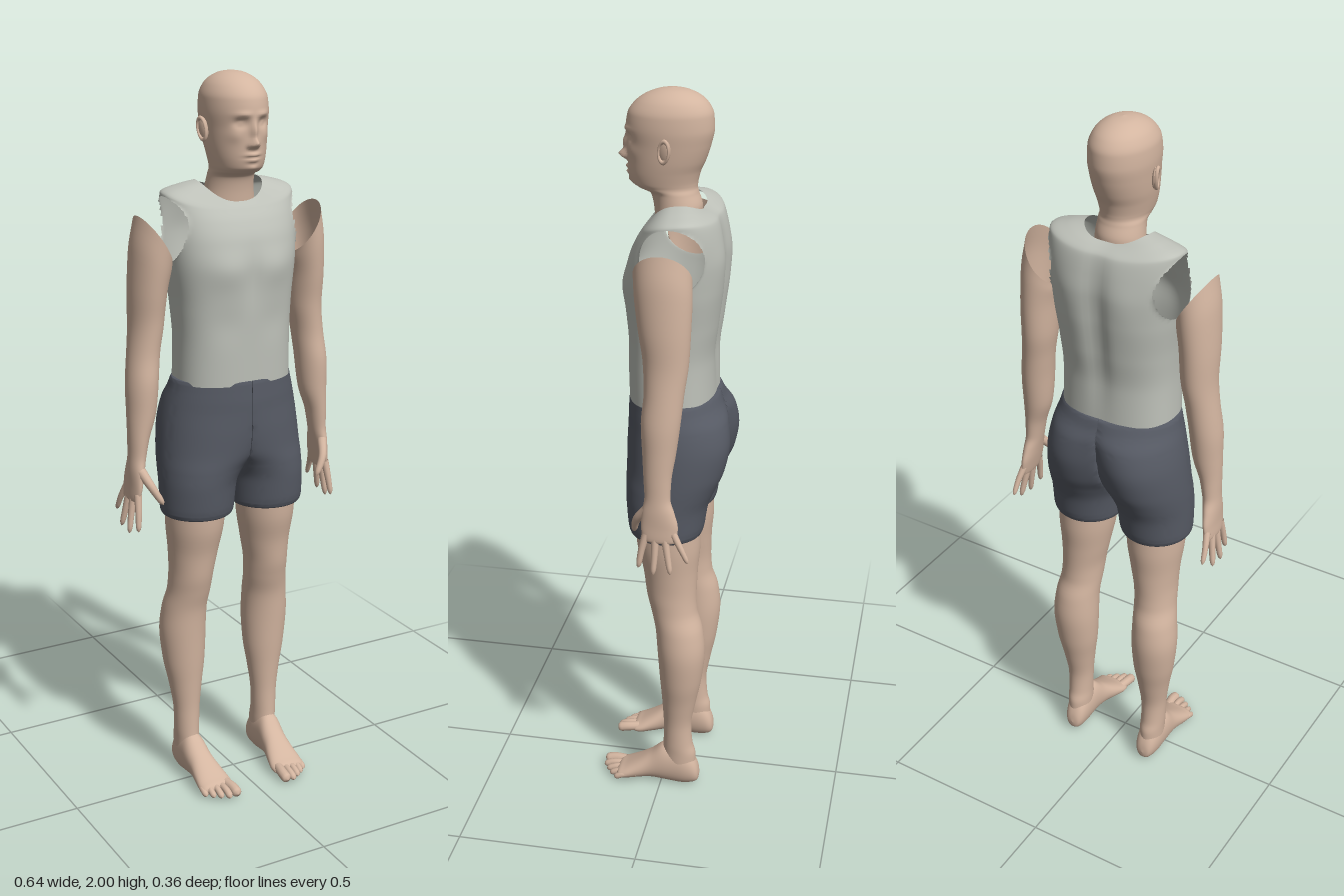
import * as THREE from 'three';
import { mergeVertices, toCreasedNormals } from 'three/addons/utils/BufferGeometryUtils.js';

const mat = (name, color) => Object.assign(
  new THREE.MeshStandardMaterial({ color, side: THREE.DoubleSide }), { name });

// Monotone interpolation of one column of a table of cross-sections
function sample(rows, t, c) {
  const n = rows.length - 1, i = Math.min(Math.floor(t), n - 1), u = t - i;
  const d = k => rows[k + 1][c] - rows[k][c];
  const m = k => {
    if (k === 0) return d(0);
    if (k === n) return d(n - 1);
    const a = d(k - 1), b = d(k);
    return a * b <= 0 ? 0 : 2 * a * b / (a + b);
  };
  const u2 = u * u, u3 = u2 * u;
  return (2 * u3 - 3 * u2 + 1) * rows[i][c] + (u3 - 2 * u2 + u) * m(i)
    + (3 * u2 - 2 * u3) * rows[i + 1][c] + (u3 - u2) * m(i + 1);
}

// Skin through cross-sections; point(row, angle) gives [x, y, z, cut]
function loft(rows, point, segs = 48, steps = 5) {
  const pos = [], cut = [], index = [], count = (rows.length - 1) * steps;
  for (let i = 0; i <= count; i++) {
    const row = rows[0].map((_, c) => sample(rows, i / steps, c));
    for (let j = 0; j < segs; j++) {
      const p = point(row, j / segs * Math.PI * 2);
      pos.push(p[0], p[1], p[2]);
      cut.push(!!p[3]);
    }
  }
  for (let i = 0; i < count; i++) for (let j = 0; j < segs; j++) {
    const a = i * segs + j, b = i * segs + (j + 1) % segs, c = a + segs, d = b + segs;
    if (cut[a] && cut[b] && cut[c] && cut[d]) continue;
    index.push(a, c, b, b, c, d);
  }
  const g = new THREE.BufferGeometry();
  g.setAttribute('position', new THREE.Float32BufferAttribute(pos, 3));
  g.setIndex(index);
  g.computeVertexNormals();
  return g;
}

// Tapered, round-ended tube for fingers and toes
function digit(points, r0, r1) {
  const n = 16, radial = 12;
  const curve = new THREE.CatmullRomCurve3(points.map(p => new THREE.Vector3(...p)));
  let g = new THREE.TubeGeometry(curve, n, 1, radial);
  const p = g.attributes.position, v = new THREE.Vector3();
  for (let i = 0; i <= n; i++) {
    const t = i / n, o = curve.getPointAt(t), end = Math.max(0, (t - 0.8) / 0.2);
    const r = (r0 + (r1 - r0) * t) * Math.sqrt(1 - end * end) + 1e-5;
    for (let j = 0; j <= radial; j++) {
      const k = i * (radial + 1) + j;
      v.fromBufferAttribute(p, k).sub(o).multiplyScalar(r).add(o);
      p.setXYZ(k, v.x, v.y, v.z);
    }
  }
  g.deleteAttribute('uv');
  g.deleteAttribute('normal');
  g = mergeVertices(g, 1e-6);
  g.computeVertexNormals();
  return g;
}

const bell = (x, y, [x0, y0, sx, sy, amp]) =>
  amp * Math.exp(-(((x - x0) / sx) ** 2) - ((y - y0) / sy) ** 2);
const soft = (v, e) => Math.sign(v) * Math.abs(v) ** e;
// Row: y, centre x, half width, front z, back z, sideways tilt
const oval = ([y, cx, rx, zf, zb, tilt = 0], a) => [cx + rx * Math.cos(a), y + tilt * Math.cos(a),
  (zf + zb) / 2 + (zf - zb) / 2 * Math.sin(a)];

// Facial relief on one side: x, y, width, height, depth
const FACE = [[0, 1.826, .011, .011, .023], [0, 1.855, .009, .024, .014], [.011, 1.821, .006, .006, .009],
  [.031, 1.877, .015, .011, -.013], [.031, 1.876, .009, .006, .007], [.028, 1.898, .02, .007, .005],
  [0, 1.797, .018, .005, .008], [0, 1.783, .015, .005, .008], [0, 1.79, .022, .002, -.003],
  [0, 1.763, .016, .009, .006], [.045, 1.845, .016, .016, .004]];

function headGeometry() {
  const rows = [[1.66, 0, .07, .036, -.085], [1.70, 0, .065, .04, -.085], [1.735, 0, .062, .05, -.075],
    [1.75, 0, .063, .085, -.072], [1.762, 0, .066, .1, -.073], [1.79, 0, .072, .106, -.08],
    [1.82, 0, .077, .107, -.093], [1.86, 0, .081, .108, -.106], [1.90, 0, .084, .112, -.114],
    [1.935, 0, .082, .107, -.112], [1.965, 0, .07, .086, -.097], [1.985, 0, .05, .056, -.071],
    [1.996, 0, .026, .023, -.04], [2, 0, 0, -.008, -.008]];
  return loft(rows, (r, a) => {
    const p = oval(r, a);
    if (Math.sin(a) > 0) for (const f of FACE) p[2] += bell(Math.abs(p[0]), p[1], f) * Math.min(1, Math.sin(a) * 2);
    return p;
  }, 112, 8);
}

function shirtGeometry() {
  // y, half width, front z, back z, side lift, front lift
  const rows = [[1.19, .163, .101, -.132, 0, 0], [1.3, .161, .104, -.13, 0, 0], [1.4, .166, .108, -.142, 0, 0],
    [1.5, .178, .11, -.153, 0, 0], [1.57, .184, .1, -.155, 0, 0], [1.625, .187, .08, -.148, .01, -.005],
    [1.665, .186, .06, -.133, .024, -.015], [1.677, .14, .05, -.115, .032, -.015],
    [1.685, .09, .042, -.095, .035, -.015]];
  const bumps = [[.075, 1.5, .055, .045, .008], [0, 1.48, .018, .07, -.005], [.075, 1.36, .05, .05, -.004]];
  const back = [[0, 1.48, .03, .2, -.016], [.08, 1.56, .04, .07, .004]];
  return loft(rows, ([y, rx, zf, zb, side, front], a) => {
    const c = Math.cos(a), s = Math.sin(a), x = rx * soft(c, .8);
    let h = y + side * c * c + front * s;
    let z = (zf + zb) / 2 + (zf - zb) / 2 * soft(s, .85);
    for (const b of s > 0 ? bumps : back) z += bell(Math.abs(x), h, b) * s;
    // armhole: pull inner points to its rim and leave the middle open
    const u = (z + .035) / .083, v = (h - 1.6) / .086, d = Math.hypot(u, v);
    const hole = Math.abs(x) > .13 && d < 1;
    if (hole) { z = -.035 + u / (d + 1e-6) * .083; h = 1.6 + v / (d + 1e-6) * .086; }
    return [x, h, z, hole];
  }, 96, 8);
}

function shortsGeometry() {
  // y, outer x, front lobe centre, back lobe centre, front z, back z
  const rows = [[.822, .18, .11, .11, .06, -.085], [.817, .202, .108, .108, .082, -.106],
    [.832, .21, .108, .108, .09, -.114], [.9, .211, .105, .105, .097, -.125], [.95, .21, .088, .1, .101, -.145],
    [1.0, .207, .05, .09, .105, -.166], [1.07, .2, .02, .08, .108, -.178], [1.13, .189, 0, .06, .108, -.17],
    [1.17, .178, 0, .025, .106, -.15], [1.2, .169, 0, 0, .103, -.137], [1.201, .158, 0, 0, .094, -.126]];
  const g = loft(rows, ([y, w, cf, cb, zf, zb], a) => {
    const s = Math.sin(a), cx = cb + (cf - cb) * (s + 1) / 2;
    return [Math.max(0.001, cx + (w - cx) * Math.cos(a)), y, (zf + zb) / 2 + (zf - zb) / 2 * s];
  }, 64, 6);
  return toCreasedNormals(g, 0.9);
}

function legGeometry() {
  return loft([[.05, .127, .032, -.008, -.1], [.1, .127, .034, -.005, -.1], [.14, .128, .035, -.007, -.091],
    [.2, .128, .037, -.008, -.087], [.28, .129, .047, -.004, -.1], [.36, .131, .06, .002, -.116],
    [.45, .133, .066, .008, -.125], [.52, .13, .063, .014, -.118], [.58, .123, .06, .028, -.101],
    [.63, .12, .061, .04, -.098], [.7, .115, .069, .05, -.1], [.78, .112, .08, .068, -.106],
    [.86, .11, .085, .075, -.105]], oval);
}

function footGeometry() {
  // z, centre x, half width, top y, bottom y
  return loft([[-.112, .125, 0, .035, .035], [-.108, .125, .017, .058, .015], [-.095, .125, .028, .09, .005],
    [-.06, .126, .035, .125, 0], [-.015, .126, .036, .13, .004], [.03, .123, .038, .095, .008],
    [.07, .12, .045, .066, .004], [.105, .118, .05, .044, .001], [.124, .117, .047, .034, .004],
    [.136, .116, 0, .018, .018]], ([z, cx, rx, top, low], a) =>
    [cx + rx * soft(Math.cos(a), .85), (top + low) / 2 - (top - low) / 2 * Math.sin(a), z], 36);
}

function armGeometry() {
  return loft([[.872, .297, 0, -.028, -.028, 0], [.88, .297, .011, .01, -.074, 0], [.92, .292, .016, .02, -.078, 0],
    [.96, .288, .02, .018, -.068, 0], [1.0, .283, .023, .012, -.056, 0], [1.05, .278, .028, .015, -.058, 0],
    [1.12, .267, .039, .02, -.068, 0], [1.2, .262, .043, .024, -.078, 0], [1.28, .253, .043, .018, -.086, 0],
    [1.36, .243, .046, .022, -.096, 0], [1.44, .24, .049, .034, -.1, .005], [1.52, .233, .05, .045, -.102, .035],
    [1.577, .224, .043, .05, -.1, .067]], oval);
}

const FINGERS = {
  thumb: [[[.285, .965, .005], [.268, .925, .036], [.24, .875, .05]], .014, .008],
  indexFinger: [[[.295, .9, .006], [.3, .85, .018], [.305, .8, .026]], .011, .007],
  middleFinger: [[[.296, .9, -.019], [.305, .84, -.018], [.313, .785, -.015]], .011, .007],
  ringFinger: [[[.296, .9, -.043], [.306, .84, -.053], [.314, .792, -.062]], .011, .007],
  littleFinger: [[[.295, .905, -.066], [.303, .865, -.088], [.306, .825, -.108]], .01, .006],
};
// Toes: x, tip z, radius
const TOES = [[.082, .178, .014], [.105, .177, .0095], [.125, .165, .009], [.143, .152, .0085], [.16, .136, .0085]];

export function createModel() {
  const model = new THREE.Group();
  model.name = 'standingFigure';
  const skin = mat('skin', 0xd3b5a0), shirt = mat('shirtGrey', 0xbec1b9), dark = mat('shortsGrey', 0x565a64);
  const add = (parent, name, geometry, material) => {
    const m = new THREE.Mesh(geometry, material);
    m.name = name;
    parent.add(m);
    return m;
  };
  add(model, 'headAndNeck', headGeometry(), skin);
  add(model, 'sleevelessShirt', shirtGeometry(), shirt);

  const parts = { shorts: [shortsGeometry(), dark], leg: [legGeometry(), skin],
    foot: [footGeometry(), skin], arm: [armGeometry(), skin] };
  for (const [name, [pts, r0, r1]] of Object.entries(FINGERS)) parts[name] = [digit(pts, r0, r1), skin];
  TOES.forEach(([x, z, r], i) => {
    const pts = [[.117 + (x - .117) * .85, .024, z - .065], [x, .022, z - .03], [x, r + .001, z]];
    parts['toe' + (i + 1)] = [digit(pts, r, r * 1.05), skin];
  });

  for (const [side, sx] of [['left', 1], ['right', -1]]) {
    const half = new THREE.Group();
    half.name = side + 'Side';
    half.scale.x = sx;
    for (const [name, [g, m]] of Object.entries(parts)) add(half, name, g, m);
    // ear: a flat shell with a raised rim
    const ear = new THREE.Group();
    ear.name = 'ear';
    ear.position.set(.086, 1.857, -.003);
    ear.rotation.set(-.15, -.3, -.12);
    add(ear, 'earShell', new THREE.SphereGeometry(1, 20, 14), skin).scale.set(.007, .03, .017);
    const rim = add(ear, 'earRim', new THREE.TorusGeometry(.023, .005, 10, 28), skin);
    rim.rotation.y = Math.PI / 2;
    rim.scale.set(.62, 1.2, 1);
    rim.position.x = .005;
    half.add(ear);
    model.add(half);
  }
  return model;
}
